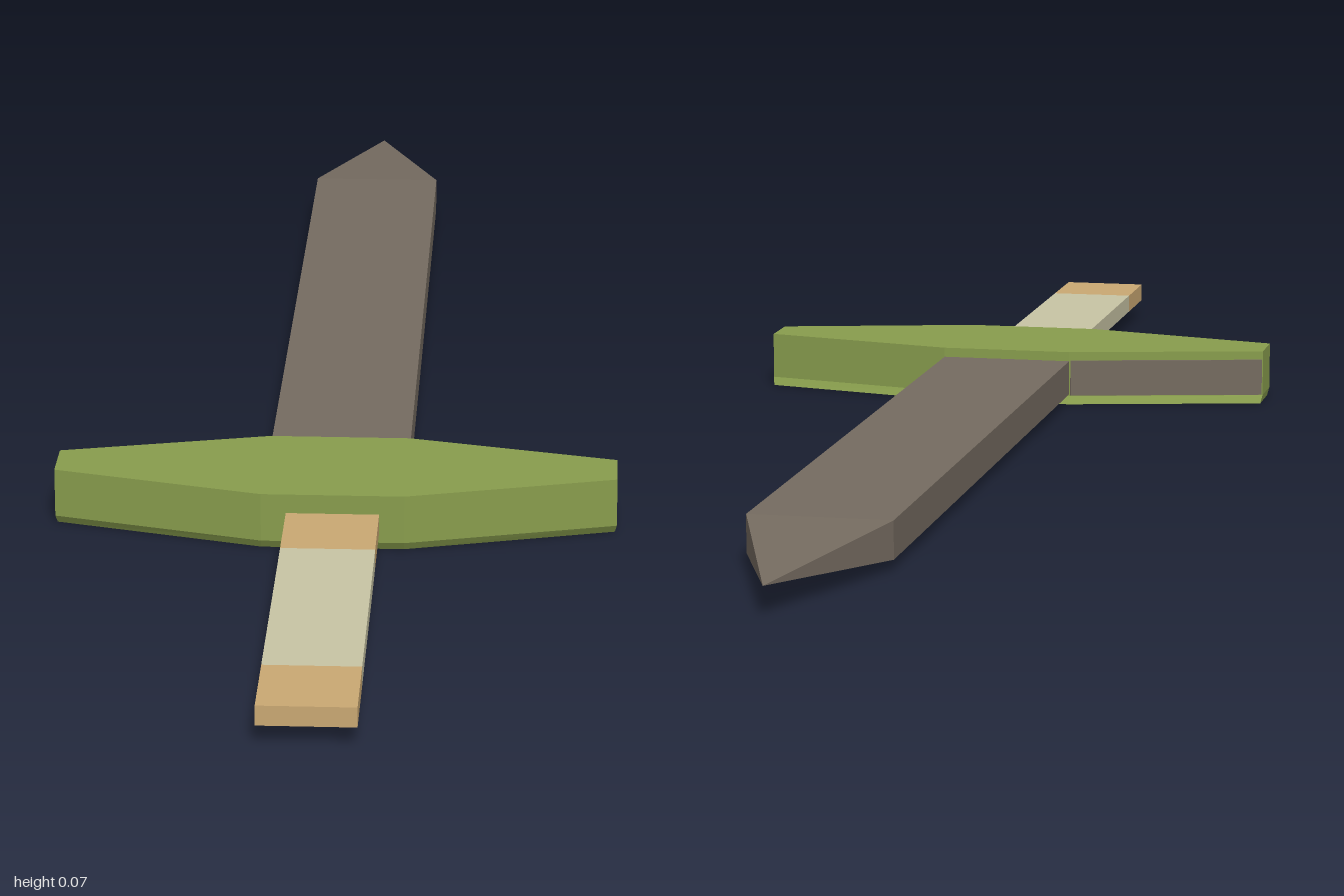
import * as THREE from 'three';

const material = (name, color) => {
  const m = new THREE.MeshStandardMaterial({ color });
  m.name = name;
  return m;
};

// Flat-faceted solid through convex rings of [x, y, z] points, capped at both ends
function loft(rings) {
  const pos = [];
  const tri = (a, b, c) => pos.push(...a, ...b, ...c);
  const n = rings[0].length;
  for (let r = 0; r < rings.length - 1; r++) {
    for (let i = 0; i < n; i++) {
      const j = (i + 1) % n;
      const [a, b] = [rings[r], rings[r + 1]];
      tri(a[i], a[j], b[j]);
      tri(a[i], b[j], b[i]);
    }
  }
  const first = rings[0], last = rings[rings.length - 1];
  for (let i = 1; i < n - 1; i++) {
    tri(first[0], first[i + 1], first[i]);
    tri(last[0], last[i], last[i + 1]);
  }
  const g = new THREE.BufferGeometry();
  g.setAttribute('position', new THREE.Float32BufferAttribute(pos, 3));
  g.computeVertexNormals();
  return g;
}

export function createModel() {
  const steel = material('dark steel', 0x756b60);
  const green = material('guard green', 0x889d4d);
  const tan = material('tan wood', 0xcaa873);
  const wrap = material('pale wrap', 0xc8c4a4);

  const model = new THREE.Group();
  model.name = 'sword';
  const add = (name, geometry, mat) => {
    const mesh = new THREE.Mesh(geometry, mat);
    mesh.name = name;
    model.add(mesh);
    return mesh;
  };

  // Blade: straight bar ending in a four-sided point
  const section = (z, w, h) =>
    [[-w, 0.034 + h, z], [w, 0.034 + h, z], [w, 0.034 - h, z], [-w, 0.034 - h, z]];
  add('blade', loft([section(0.3, 0.083, 0.022), section(-0.75, 0.083, 0.022), section(-1, 0, 0)]), steel);

  // Guard: tapered octagon, its underside edge shifted slightly backwards
  const outline = (y, w, shift) => [
    [-0.083, 0.465], [0.083, 0.465], [w, 0.4], [w, 0.338],
    [0.083, 0.279], [-0.083, 0.279], [-w, 0.338], [-w, 0.4],
  ].map(([x, z]) => [x, y, z + shift]);
  add('guard', loft([outline(0, 0.327, -0.006), outline(0.01, 0.329, 0), outline(0.068, 0.329, 0)]), green);

  // Steel inlay on one rear face of the guard
  const inlay = add('guardInlay', new THREE.BoxGeometry(0.25, 0.046, 0.006), steel);
  inlay.position.set(-0.206, 0.034, 0.3085);
  inlay.rotation.y = Math.atan2(0.059, 0.246);

  // Handle: wooden ends with a wrapped middle
  for (const [name, z0, z1, mat] of [
    ['handleCollar', 0.45, 0.57, tan],
    ['handleGrip', 0.57, 0.895, wrap],
    ['handleEnd', 0.895, 1, tan],
  ]) {
    add(name, new THREE.BoxGeometry(0.108, 0.023, z1 - z0), mat).position.set(0, 0.0335, (z0 + z1) / 2);
  }

  return model;
}
